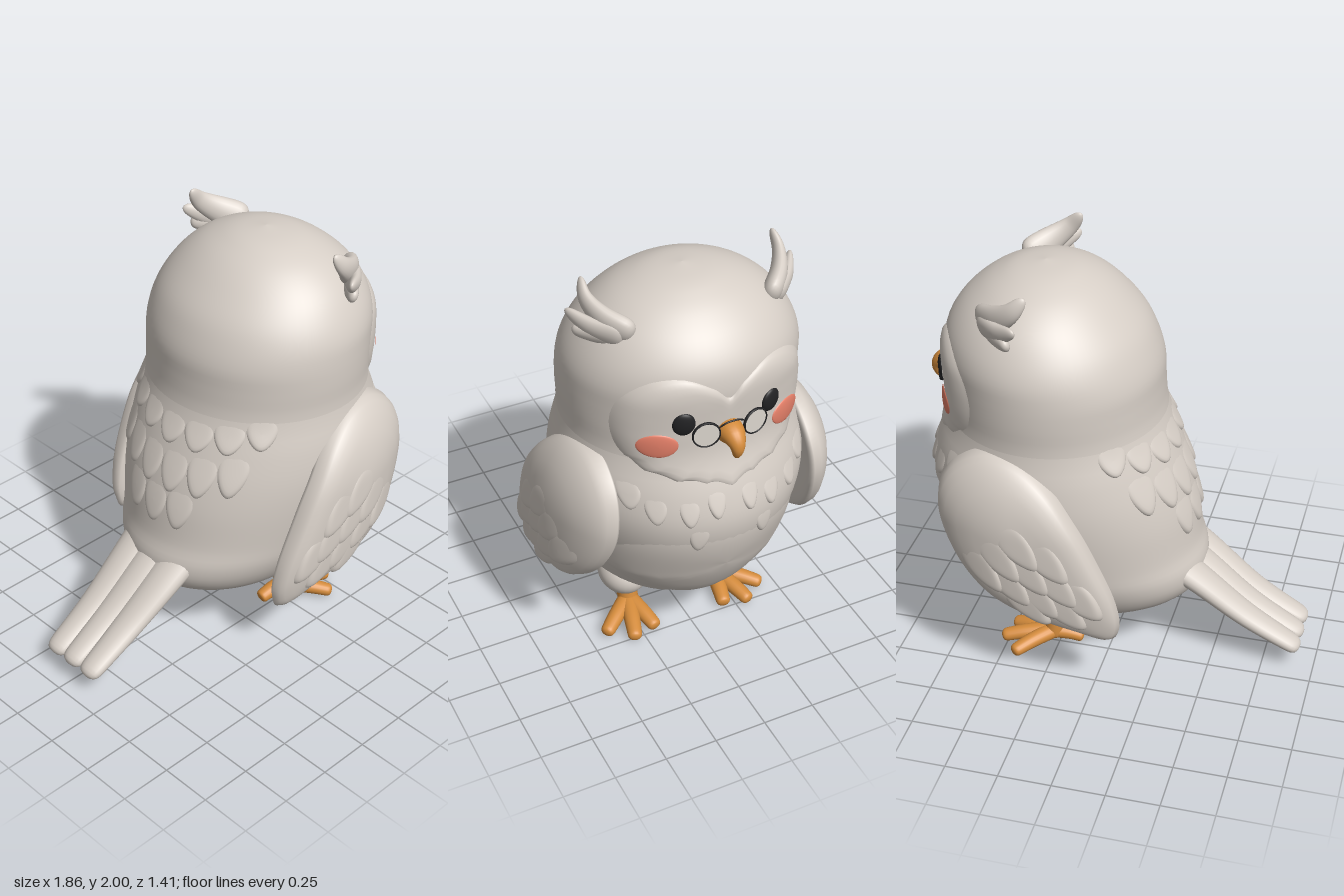
import * as THREE from 'three';

const V = (x, y, z) => new THREE.Vector3(x, y, z);
const colour = (name, hex) => Object.assign(new THREE.MeshStandardMaterial({ color: hex }), { name });

// Closed loops of points joined into a smooth skin, always facing outwards
function loft(rings) {
  const n = rings[0].length, pos = [], idx = [];
  rings.forEach(r => r.forEach(p => pos.push(p.x, p.y, p.z)));
  for (let i = 0; i < rings.length - 1; i++) {
    for (let j = 0; j < n; j++) {
      const a = i * n + j, b = i * n + (j + 1) % n;
      idx.push(a, b, a + n, b, b + n, a + n);
    }
  }
  const pts = rings.flat(), ref = V(0.3, 0.9, 0);
  const at = k => pts[idx[k]].clone().sub(ref);
  let volume = 0;
  for (let k = 0; k < idx.length; k += 3) volume += at(k).dot(at(k + 1).cross(at(k + 2)));
  if (volume < 0) idx.reverse();
  const g = new THREE.BufferGeometry();
  g.setAttribute('position', new THREE.Float32BufferAttribute(pos, 3));
  g.setIndex(idx);
  g.computeVertexNormals();
  return g;
}

// Mirrored copy across z = 0
function mirror(geo) {
  const g = geo.clone().applyMatrix4(new THREE.Matrix4().makeScale(1, 1, -1));
  g.setIndex(Array.from(g.index.array).reverse());
  return g;
}

// Rounded limb along a curve, radius going from r0 to r1, flattened by "flat", blunter ends for larger "cap"
function limb(points, r0, r1, side = V(0, 0, 1), flat = 1, cap = 8, steps = 28) {
  const curve = new THREE.CatmullRomCurve3(points), rings = [];
  for (let i = 0; i <= steps; i++) {
    const t = (1 - Math.cos(Math.PI * i / steps)) / 2;
    const r = (r0 + (r1 - r0) * t) * Math.sqrt(Math.max(0, 1 - Math.pow(2 * t - 1, cap)));
    const p = curve.getPoint(t), T = curve.getTangent(t);
    const S = side.clone().addScaledVector(T, -side.dot(T)).normalize(), U = T.clone().cross(S);
    rings.push(Array.from({ length: 20 }, (_, j) => {
      const a = j * Math.PI / 10;
      return p.clone().addScaledVector(S, r * Math.cos(a)).addScaledVector(U, r * flat * Math.sin(a));
    }));
  }
  return loft(rings);
}

// Body and head profile: y, back x, front x, half width
const PROFILE = [
  [0.195, 0.2, 0.2, 0], [0.21, 0, 0.36, 0.18], [0.25, -0.16, 0.5, 0.3], [0.32, -0.35, 0.605, 0.39],
  [0.4, -0.42, 0.67, 0.45], [0.5, -0.43, 0.735, 0.5], [0.6, -0.4, 0.79, 0.53], [0.8, -0.37, 0.88, 0.57],
  [0.95, -0.33, 0.905, 0.585], [1.1, -0.275, 0.875, 0.575], [1.26, -0.215, 0.815, 0.545],
  [1.4, -0.2, 0.805, 0.55], [1.5, -0.195, 0.81, 0.55], [1.6, -0.165, 0.815, 0.54], [1.7, -0.115, 0.795, 0.5],
  [1.8, -0.03, 0.73, 0.43], [1.88, 0.06, 0.64, 0.335], [1.93, 0.145, 0.555, 0.235], [1.96, 0.23, 0.47, 0.13],
  [1.975, 0.35, 0.35, 0],
];
function profile(y, c) {
  const P = PROFILE, last = P.length - 1;
  let i = 0;
  while (i < last - 1 && y > P[i + 1][0]) i++;
  const slope = k => {
    const a = P[Math.max(0, k - 1)], b = P[Math.min(last, k + 1)];
    return (b[c] - a[c]) / (b[0] - a[0]);
  };
  const h = P[i + 1][0] - P[i][0], t = Math.min(1, Math.max(0, (y - P[i][0]) / h)), u = 1 - t;
  return P[i][c] * (1 + 2 * t) * u * u + P[i + 1][c] * t * t * (3 - 2 * t) +
    h * (slope(i) * t * u * u - slope(i + 1) * t * t * u);
}
function surface(angle, y, off = 0) {
  const a = profile(y, 1), b = profile(y, 2), w = Math.max(0, profile(y, 3));
  return V((a + b) / 2 + ((b - a) / 2 + off) * Math.cos(angle), y, (w + off) * Math.sin(angle));
}
const frontMap = (z, y, off) => surface(Math.asin(THREE.MathUtils.clamp(z / profile(y, 3), -1, 1)), y, off);
// Flatter facial disc standing off the head, most at its sides
const faceMap = (z, y, off) => frontMap(z, y, 0).add(V(off, 0, 0));
const discLift = z => 0.014 + 0.2 * z * z;

// Wing skin: z for a point in the side plane
const A = [-0.67, -0.74], C = [0.74, -0.67];
function wingBase(x, y) {
  const dx = x - 0.35;
  return 0.59 - (dx > 0 ? 0.6 : 0.08) * dx * dx - 0.8 * Math.max(0, y - 0.9) ** 2 - 0.06 * Math.max(0, 0.9 - y) ** 2;
}
function wingDome(x, y) {
  const dx = x - 0.3, dy = y - 0.82;
  const s = (dx * A[0] + dy * A[1]) / 0.68, c = (dx * C[0] + dy * C[1]) / 0.46;
  return 0.018 + 0.085 * Math.sqrt(Math.max(0, 1 - s * s - c * c));
}
const wingMap = (x, y, off) => V(x, y, wingBase(x, y) + wingDome(x, y) + off);

// Smooth closed outline through a few 2D points
const outline = (pts, n) =>
  new THREE.CatmullRomCurve3(pts.map(p => V(p[0], p[1], 0)), true).getPoints(n).slice(0, n).map(p => [p.x, p.y]);
const symmetric = half => half.concat(half.slice(1, -1).reverse().map(p => [-p[0], p[1]]));
const ellipse = (u, v, a, b) => Array.from({ length: 40 }, (_, i) =>
  [u + a * Math.cos(i * Math.PI / 20), v + b * Math.sin(i * Math.PI / 20)]);

// Raised patch lying on a mapped surface; lift(u, v, r) is its height
function patch(pts, centre, map, lift, radii = [0, 0.2, 0.4, 0.6, 0.75, 0.86, 0.93, 0.97, 1]) {
  return loft(radii.map(r => pts.map(p => {
    const u = centre[0] + (p[0] - centre[0]) * r, v = centre[1] + (p[1] - centre[1]) * r;
    return map(u, v, lift(u, v, r));
  })));
}
// Pointed feather: root buried, tip raised
function feather(u, v, width, length, dir, map, height) {
  const pts = Array.from({ length: 32 }, (_, i) => {
    const a = i * Math.PI / 16, along = Math.cos(a) * length / 2;
    const across = Math.sin(a) * (1 - 0.3 * Math.cos(a)) * width / 2;
    return [u + dir[0] * along - dir[1] * across, v + dir[1] * along + dir[0] * across];
  });
  return patch(pts, [u, v], map, (x, y, r) => {
    const tip = ((x - u) * dir[0] + (y - v) * dir[1]) / length + 0.5;
    return -0.008 + (0.003 + height * tip) * (1 - Math.pow(r, 8));
  });
}

export function createModel() {
  const model = new THREE.Group();
  model.name = 'owl';
  const plumage = colour('plumage', 0xd6cec6), orange = colour('orange', 0xd58c3c);
  const black = colour('black', 0x222224), blush = colour('blush', 0xe58069), glass = colour('lens', 0xdcd6ce);
  const add = (name, geo, mat = plumage) => {
    const m = new THREE.Mesh(geo, mat);
    m.name = name;
    model.add(m);
  };
  const pair = (name, geo, mat) => { add(name + 'Left', geo, mat); add(name + 'Right', mirror(geo), mat); };

  // Body and head
  const ring = y => Array.from({ length: 72 }, (_, j) => surface(j * Math.PI / 36, y));
  const steps = Array.from({ length: 41 }, (_, i) => i / 40);
  add('body', loft(steps.map(s => ring(0.195 + 1.065 * Math.pow(s, 1.7)))));
  add('head', loft(steps.map(s => ring(1.975 - 0.715 * (1 - s) ** 2))));

  // Heart-shaped face and belly apron with ragged lower edges
  const ragged = (pts, below, depth) => pts.map(([z, y]) =>
    [z, y < below ? y + depth * Math.abs(Math.sin(z * 26)) : y]);
  const heart = symmetric([[0, 1.57], [0.07, 1.63], [0.2, 1.69], [0.33, 1.67], [0.43, 1.58], [0.465, 1.45],
    [0.44, 1.3], [0.36, 1.21], [0.22, 1.16], [0.1, 1.14], [0, 1.11]]);
  add('face', patch(ragged(outline(heart, 120), 1.25, 0.014), [0, 1.4], faceMap,
    (z, y, r) => -0.015 + (0.015 + discLift(z)) * (1 - Math.pow(r, 14))));
  const apron = symmetric([[0, 0.92], [0.3, 0.9], [0.46, 0.78], [0.48, 0.6], [0.4, 0.48], [0.28, 0.4], [0.12, 0.345], [0, 0.33]]);
  add('belly', patch(ragged(outline(apron, 120), 0.6, 0.006), [0, 0.65], frontMap,
    (z, y, r) => -0.008 + 0.04 * THREE.MathUtils.clamp((0.92 - y) / 0.35, 0, 1) * (1 - Math.pow(r, 12))));

  // Chest feathers
  [[0.08, 1.06], [0.2, 1.03], [0.33, 1.04], [0.16, 0.88], [0.42, 1.1]].forEach(([z, y]) =>
    pair('chestFeather', feather(z, y, 0.09, 0.16, [0, -1], frontMap, 0.022)));

  // Back feathers in staggered rows
  [[1.16, 7, 0.27, 0.17], [0.98, 6, 0.25, 0.24], [0.8, 3, 0.25, 0.24]].forEach(([y, n, gap, len]) => {
    for (let i = 0; i < n; i++) {
      const k = i - (n - 1) / 2;
      add('backFeather', feather(Math.PI + k * gap, y + 0.006 * k * k, gap * 1.05, len, [0, -1], surface, 0.026));
    }
  });

  // Wings with overlapping feathers
  const wing = outline([[0.36, 1.23], [0.2, 1.13], [0.06, 0.95], [-0.04, 0.75], [-0.12, 0.54], [-0.135, 0.4],
    [-0.1, 0.325], [0.06, 0.36], [0.3, 0.43], [0.5, 0.53], [0.66, 0.7], [0.74, 0.9], [0.73, 1.05], [0.66, 1.16], [0.52, 1.24]], 90);
  const radii = [0, 0.25, 0.5, 0.7, 0.85, 0.93, 0.97, 1];
  const shell = (r, s) => wing.map(p => {
    const x = 0.3 + (p[0] - 0.3) * r, y = 0.8 + (p[1] - 0.8) * r;
    const edge = Math.sqrt(1 - Math.pow(r, 10));
    return V(x, y, wingBase(x, y) + edge * (s > 0 ? wingDome(x, y) : -0.04));
  });
  pair('wing', loft([...radii.map(r => shell(r, 1)), ...radii.slice(0, -1).reverse().map(r => shell(r, -1))]));
  [[-0.03, [-0.02, 0.1, 0.22]], [0.1, [-0.08, 0.04, 0.16]], [0.23, [-0.02, 0.1, 0.17]], [0.35, [-0.05, 0.05]]]
    .forEach(([s, row]) => row.forEach(c => pair('wingFeather',
      feather(0.3 + A[0] * s + C[0] * c, 0.82 + A[1] * s + C[1] * c, 0.15, 0.29, A, wingMap, 0.024))));

  // Tail of three long feathers
  [[-0.125, -0.125], [0, -0.01], [0.125, 0.11]].forEach(([z0, z1]) =>
    add('tailFeather', limb([V(-0.26, 0.54, z0), V(-0.42, 0.43, z0), V(-0.66, 0.255, z1), V(-0.925, 0.105, z1)],
      0.115, 0.06, V(0, 0, 1), 0.6, 30)));

  // Ear tufts
  const tilt = V(0.5, 0.8, -0.1);
  pair('earTuftTop', limb([V(0.55, 1.81, 0.32), V(0.45, 1.87, 0.42), V(0.37, 1.93, 0.46), V(0.31, 2.0, 0.455)], 0.085, 0.024, tilt, 0.6));
  pair('earTuftMiddle', limb([V(0.53, 1.8, 0.35), V(0.43, 1.83, 0.47), V(0.335, 1.875, 0.54)], 0.08, 0.024, tilt, 0.6));
  pair('earTuftLow', limb([V(0.5, 1.79, 0.37), V(0.43, 1.79, 0.46), V(0.37, 1.795, 0.525)], 0.06, 0.03, tilt, 0.7));

  // Eyes, cheeks and beak
  const bead = (z, y, a, b, height) => patch(ellipse(z, y, a, b), [z, y], faceMap,
    (u, v, r) => discLift(u) + 0.003 + height * Math.sqrt(1 - r * r));
  pair('eye', bead(0.207, 1.475, 0.048, 0.058, 0.02), black);
  pair('cheek', bead(0.308, 1.362, 0.082, 0.06, 0.012), blush);
  add('beak', limb([V(0.79, 1.395, 0), V(0.862, 1.39, 0), V(0.895, 1.36, 0), V(0.89, 1.295, 0)], 0.07, 0.016), orange);

  // Round spectacles
  const seat = g => g.rotateY(Math.PI / 2 - 0.2).translate(0.832, 1.415, 0.117);
  pair('spectacleRim', seat(new THREE.TorusGeometry(0.06, 0.004, 8, 40).scale(1, 1, 2)), black);
  pair('spectacleLens', seat(new THREE.CylinderGeometry(0.058, 0.058, 0.006, 40).rotateX(Math.PI / 2)), glass);
  add('spectacleBridge', limb([V(0.84, 1.44, 0.062), V(0.85, 1.462, 0.03), V(0.852, 1.466, 0),
    V(0.85, 1.462, -0.03), V(0.84, 1.44, -0.062)], 0.004, 0.004, V(1, 0, 0)), black);

  // Thighs, legs and toes
  pair('thigh', new THREE.SphereGeometry(1, 32, 20).scale(0.14, 0.11, 0.12).translate(0.28, 0.265, 0.26));
  pair('leg', limb([V(0.28, 0.24, 0.235), V(0.275, 0.13, 0.235), V(0.285, 0.03, 0.235)], 0.036, 0.055), orange);
  [[0.44, 0.425], [0.53, 0.31], [0.5, 0.185], [0.135, 0.215]].forEach(([x, z]) => {
    const mid = V(0.28 + (x - 0.28) * 0.55, 0.055, 0.235 + (z - 0.235) * 0.55);
    const side = V(-(z - 0.235), 0, x - 0.28).normalize();
    pair('toe', limb([V(0.28, 0.065, 0.235), mid, V(x, 0.035, z)], 0.045, 0.034, side, 0.9, 14), orange);
  });
  return model;
}
